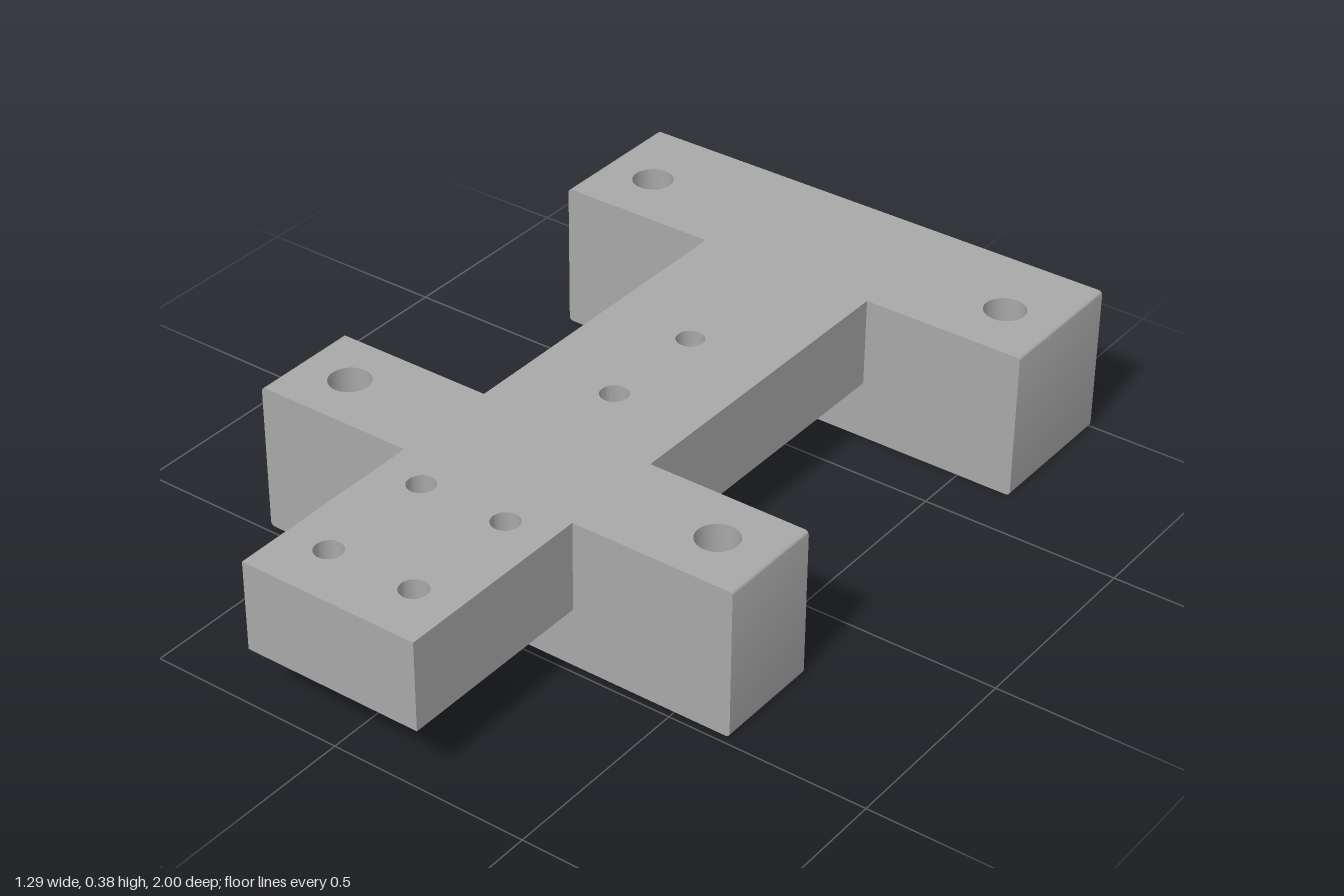
import * as THREE from 'three';
import { toCreasedNormals } from 'three/addons/utils/BufferGeometryUtils.js';

const WIDE = 0.643, SPINE = 0.23, ROUND = 0.012;
const CORE = WIDE - ROUND;
const BASE = 0.15, STEP = 0.25, TOP = 0.376;
const REAR = [-1, -0.635], FRONT = [0.205, 0.48];

// Hole centres as [x, z]
const rearBolts = [[-0.505, -0.795], [0.505, -0.795]];
const frontBolts = [[-0.505, 0.34], [0.505, 0.34]];
const spineHoles = [[0, -0.257], [0, 0.03], [-0.115, 0.56], [0.115, 0.56], [-0.115, 0.86], [0.115, 0.86]];

// Plan outlines are drawn with y = -z
function outline(points) {
  return new THREE.Shape(points.map(([x, z]) => new THREE.Vector2(x, -z)));
}

function drill(shape, centres, radius, sides = 28) {
  for (const [x, z] of centres) {
    const pts = [];
    for (let i = 0; i < sides; i++) {
      const a = (i / sides) * Math.PI * 2;
      pts.push(new THREE.Vector2(x + radius * Math.cos(a), -z + radius * Math.sin(a)));
    }
    shape.holes.push(new THREE.Path(pts));
  }
  return shape;
}

// Full plan: spine with two cross blocks
function plan() {
  const half = [
    [SPINE, 1], [SPINE, FRONT[1]], [CORE, FRONT[1]], [CORE, FRONT[0]], [SPINE, FRONT[0]],
    [SPINE, REAR[1]], [CORE, REAR[1]], [CORE, REAR[0]],
  ];
  return outline([...half, ...half.map(([x, z]) => [-x, z]).reverse()]);
}

function blockPlan([z0, z1]) {
  return outline([[-CORE, z0], [CORE, z0], [CORE, z1], [-CORE, z1]]);
}

export function createModel() {
  const grey = new THREE.MeshStandardMaterial({ color: 0xa8a8a8 });
  grey.name = 'plain grey';
  const model = new THREE.Group();
  model.name = 'mountingBracket';

  function add(name, geometry) {
    const mesh = new THREE.Mesh(toCreasedNormals(geometry, 0.5), grey);
    mesh.name = name;
    model.add(mesh);
  }

  function layer(name, shape, y0, y1) {
    const g = new THREE.ExtrudeGeometry(shape, { depth: y1 - y0, bevelEnabled: false });
    g.rotateX(-Math.PI / 2);
    g.translate(0, y0, 0);
    add(name, g);
  }

  // Lower halves of the cross blocks, with screw holes
  layer('rearBlockFoot', drill(blockPlan(REAR), rearBolts, 0.029), 0, BASE);
  layer('frontBlockFoot', drill(blockPlan(FRONT), frontBolts, 0.029), 0, BASE);

  // Lower slab: screw holes and hexagonal nut pockets
  const bolts = [...rearBolts, ...frontBolts];
  const lower = drill(plan(), bolts, 0.029);
  layer('lowerSlab', drill(lower, spineHoles, 0.056, 6), BASE, STEP);

  // Upper slab: counterbores and round holes
  const upper = drill(plan(), bolts, 0.051);
  layer('upperSlab', drill(upper, spineHoles, 0.034), STEP, TOP);

  // Rounded long edges on the ends of both blocks
  for (const [label, [z0, z1]] of [['rear', REAR], ['front', FRONT]]) {
    for (const side of [1, -1]) {
      const s = new THREE.Shape();
      s.moveTo(side * CORE, 0);
      s.quadraticCurveTo(side * WIDE, 0, side * WIDE, ROUND);
      s.lineTo(side * WIDE, TOP - ROUND);
      s.quadraticCurveTo(side * WIDE, TOP, side * CORE, TOP);
      s.closePath();
      const g = new THREE.ExtrudeGeometry(s, { depth: z1 - z0, bevelEnabled: false, curveSegments: 5 });
      g.translate(0, 0, z0);
      add(label + (side > 0 ? 'LeftEnd' : 'RightEnd'), g);
    }
  }
  return model;
}
